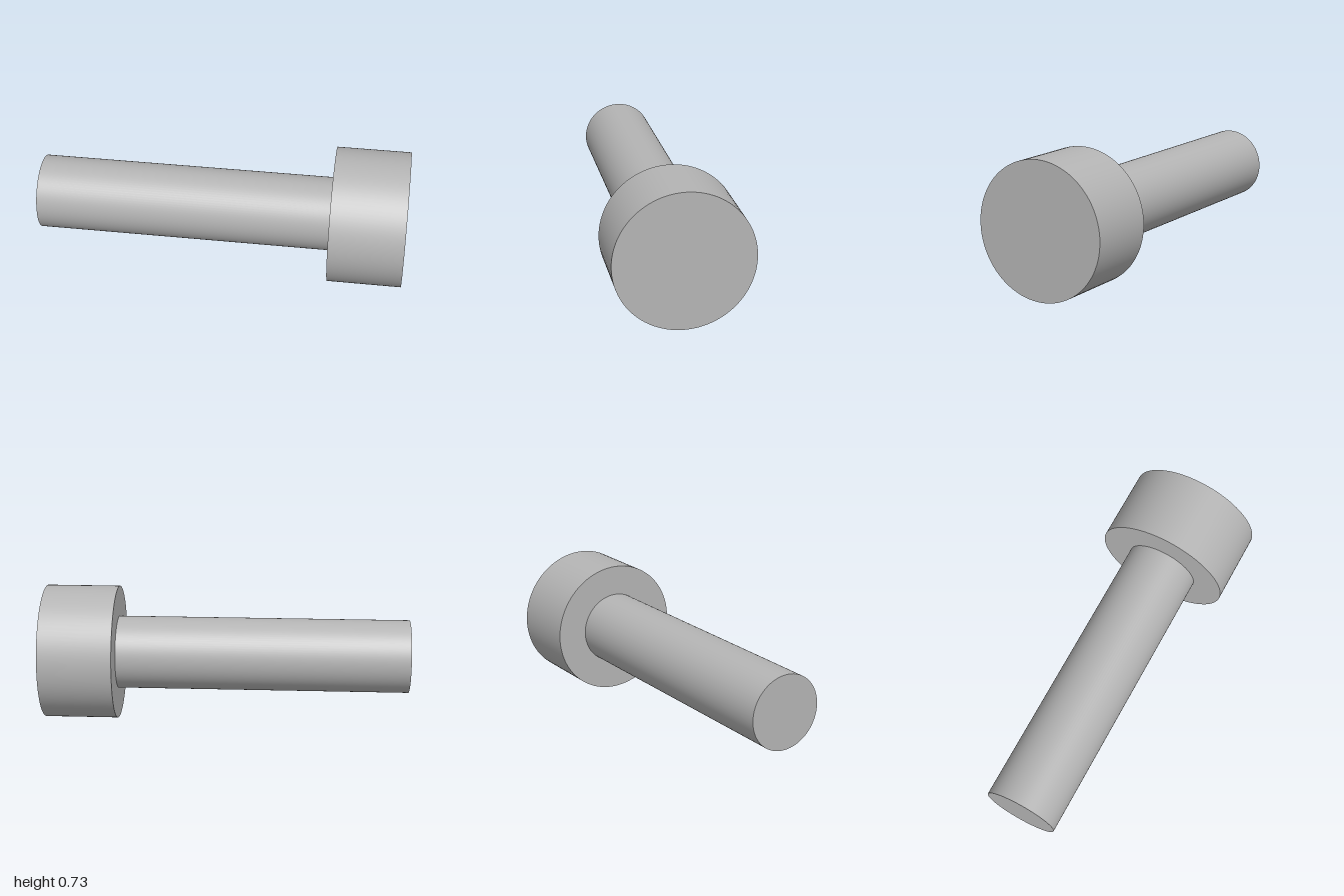
import * as THREE from 'three';

export function createModel() {
  const steel = new THREE.MeshStandardMaterial({ color: 0xb4b4b4 });
  const bolt = new THREE.Group();
  bolt.name = 'bolt';

  const headRadius = 0.3635, headLength = 0.397;
  const shankRadius = 0.198, shankLength = 1.588;

  // Round bar along z, from its front end back by its length
  function bar(name, radius, length, frontZ) {
    const geometry = new THREE.CylinderGeometry(radius, radius, length, 96);
    geometry.rotateX(Math.PI / 2);
    const mesh = new THREE.Mesh(geometry, steel);
    mesh.name = name;
    mesh.position.z = frontZ - length / 2;
    bolt.add(mesh);
  }

  // Wide head with flat end faces, then the plain shank behind it
  bar('head', headRadius, headLength, 0);
  bar('shank', shankRadius, shankLength, -headLength);

  // Lay the bolt on its head, turned 30 degrees toward +x
  bolt.rotation.y = Math.PI / 6;
  bolt.position.set(0.424, headRadius, 0.818);

  const model = new THREE.Group();
  model.name = 'model';
  model.add(bolt);
  return model;
}
